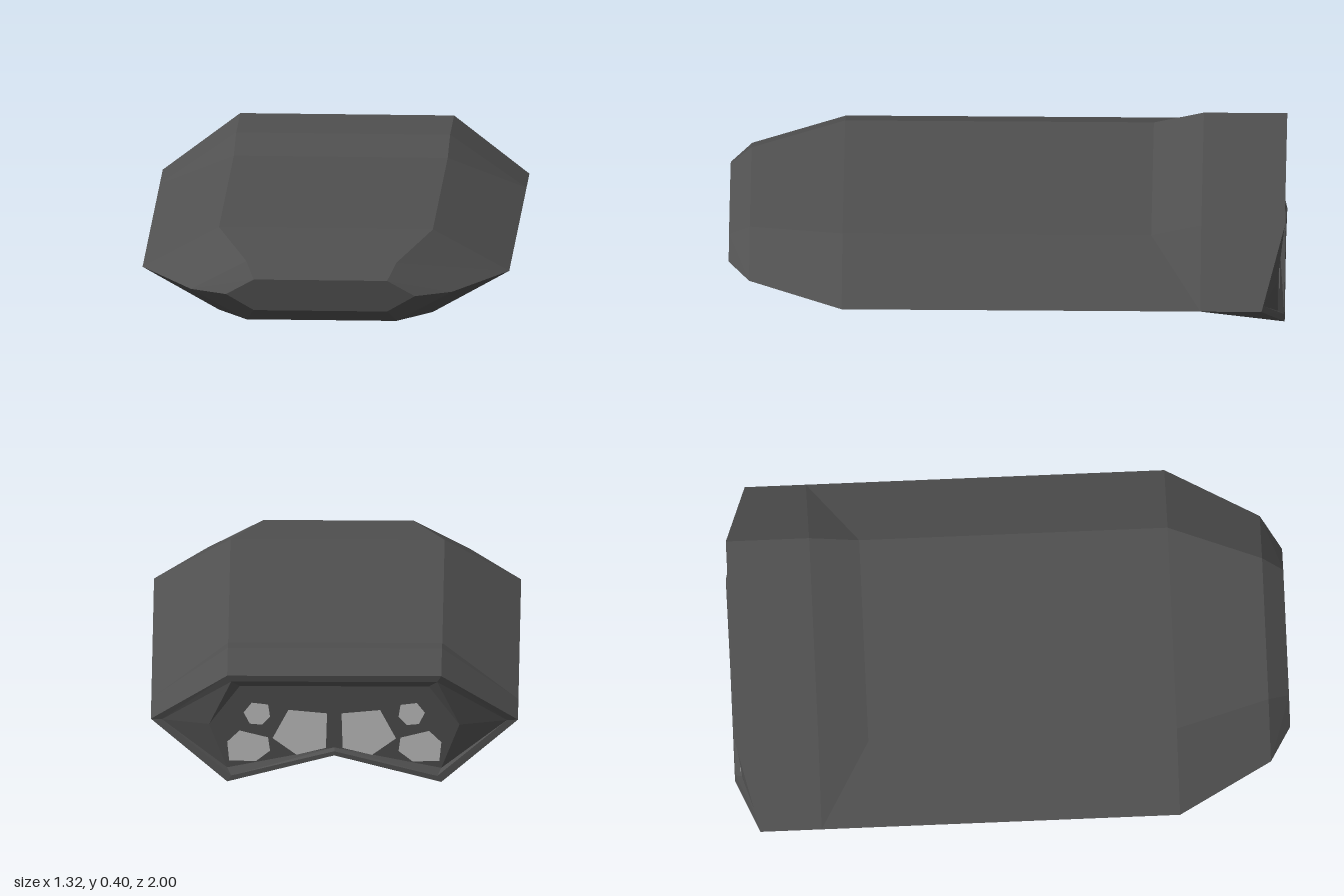
import * as THREE from 'three';

const hullGrey = new THREE.MeshStandardMaterial({ color: 0x505050 });
const lightGrey = new THREE.MeshStandardMaterial({ color: 0xc8c8c8, side: THREE.DoubleSide });
hullGrey.name = 'hull grey';
lightGrey.name = 'light grey';

// Flat-shaded mesh from planar polygons on the +x half, optionally mirrored
function faceMesh(name, faces, material, mirror = false) {
  const pos = [];
  for (const face of faces) {
    const pts = mirror ? face.map(([x, y, z]) => [-x, y, z]).reverse() : face;
    // keep the first corner as the fan centre on both halves
    if (mirror) pts.unshift(pts.pop());
    for (let i = 1; i < pts.length - 1; i++) pos.push(...pts[0], ...pts[i], ...pts[i + 1]);
  }
  const geo = new THREE.BufferGeometry();
  geo.setAttribute('position', new THREE.Float32BufferAttribute(pos, 3));
  geo.computeVertexNormals();
  const mesh = new THREE.Mesh(geo, material);
  mesh.name = name;
  return mesh;
}

// Half cross-section: top centre, top edge, side point, bottom edge, bottom centre
const section = (z, edge, side, top, bottom, o = {}) => {
  const { sideZ = z, notch = bottom, bottomEdge = edge } = o;
  return [[0, top, z], [edge, top, z], [side, 0.21, sideZ], [bottomEdge, bottom, z], [0, notch, z]];
};

const lerp = (p, q, t) => p.map((v, i) => v + (q[i] - v) * t);

export function createModel() {
  const model = new THREE.Group();
  model.name = 'hullModel';

  // Nose to tail, then the rear rim and recessed rear panel
  const sections = [
    section(1, 0.24, 0.34, 0.265, 0.152),
    section(0.925, 0.27, 0.47, 0.315, 0.1),
    section(0.59, 0.385, 0.66, 0.36, 0.055),
    section(-0.52, 0.385, 0.66, 0.36, 0.055),
    section(-0.7, 0.385, 0.66, 0.403, 0.063),
    section(-1, 0.385, 0.66, 0.403, 0, { sideZ: -0.92, notch: 0.1 }),
    section(-0.998, 0.37, 0.62, 0.38, 0.022, { sideZ: -0.925, notch: 0.115 }),
    section(-0.975, 0.34, 0.45, 0.355, 0.045, { notch: 0.122, bottomEdge: 0.385 }),
  ];

  const hull = [[...sections[0]].reverse()];
  const bay = [];
  for (let i = 0; i < sections.length - 1; i++) {
    const f = sections[i], b = sections[i + 1];
    for (let j = 0; j < 4; j++) {
      const quad = [f[j], f[j + 1], b[j + 1], b[j]];
      if (i !== 2 || j !== 2) {
        hull.push(quad);
        continue;
      }
      // Lower flank: frame around the long side recess
      const at = (t, z) => { const p = lerp(f[3], f[2], t); return [p[0], p[1], z]; };
      const hole = [at(0.84, 0.54), at(0.13, 0.54), at(0.13, -0.465), at(0.84, -0.465)];
      for (let k = 0; k < 4; k++) {
        const n = (k + 1) % 4;
        hull.push([quad[k], quad[n], hole[n], hole[k]]);
      }
      // Recess: horizontal ceiling, upright wall and triangular ends
      const [a, c, d, e] = hole;
      const foldF = [c[0], a[1], 0.54], foldB = [c[0], a[1], -0.465];
      bay.push([a, foldF, foldB, e], [foldF, c, d, foldB], [a, c, foldF], [d, e, foldB]);
    }
  }
  hull.push(sections[sections.length - 1]);

  // Rear lamp plates
  const lamps = [
    [[0.026, 0.253], [0.165, 0.266], [0.222, 0.158], [0.136, 0.095], [0.03, 0.121]],
    [[0.238, 0.161], [0.341, 0.187], [0.385, 0.144], [0.378, 0.073], [0.282, 0.07], [0.231, 0.11]],
    [[0.238, 0.286], [0.297, 0.293], [0.326, 0.256], [0.304, 0.213], [0.26, 0.209], [0.231, 0.24]],
  ].map((pts) => pts.map(([x, y]) => [x, y, -0.979]));

  for (const mirror of [false, true]) {
    const side = mirror ? 'right' : 'left';
    model.add(
      faceMesh(side + 'Hull', hull, hullGrey, mirror),
      faceMesh(side + 'SideRecess', bay, lightGrey, mirror),
      faceMesh(side + 'RearLamps', lamps, lightGrey, mirror),
    );
  }
  return model;
}
